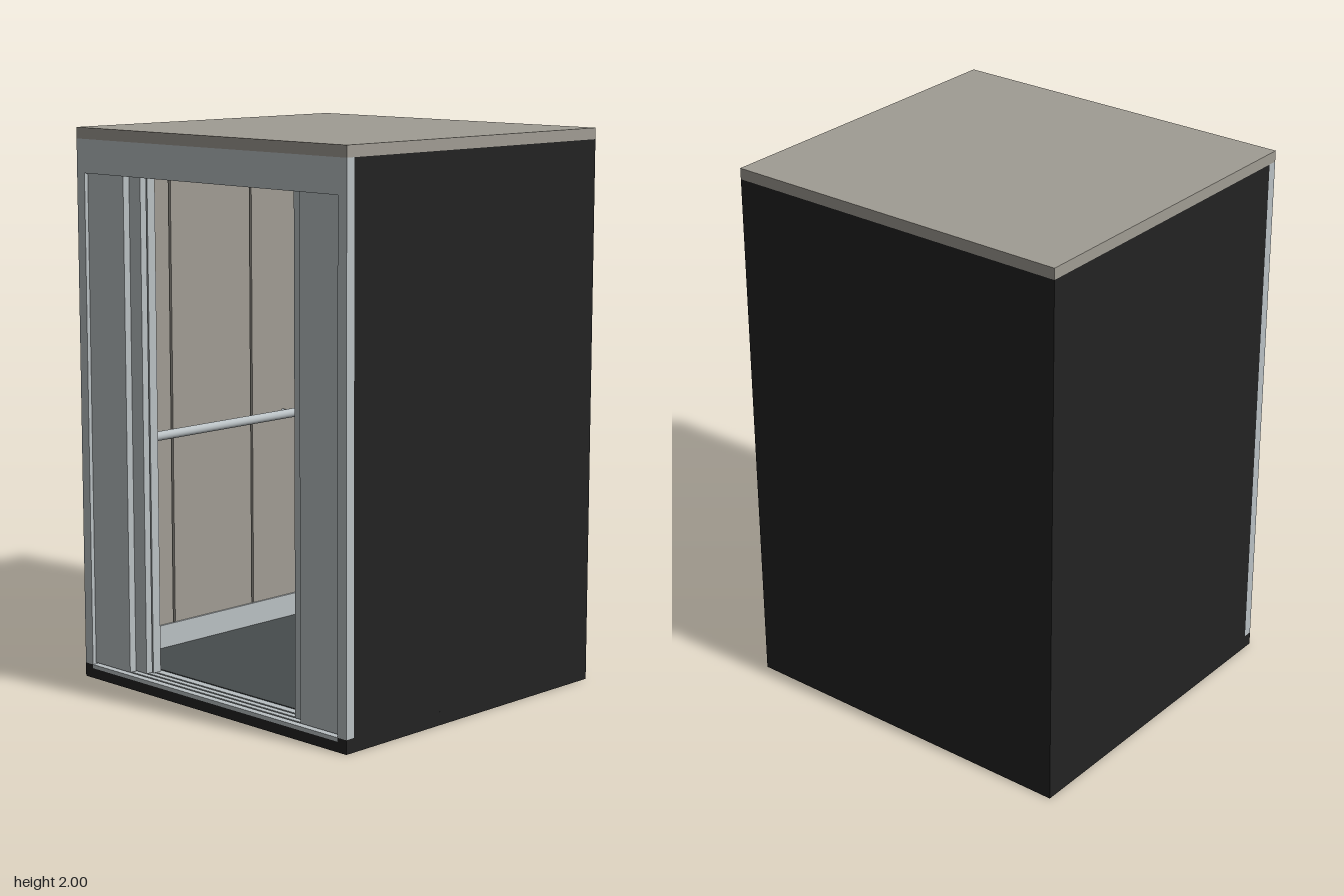
import * as THREE from 'three';

const mat = (name, color) => {
  const m = new THREE.MeshStandardMaterial({ color });
  m.name = name;
  return m;
};

export function createModel() {
  const model = new THREE.Group();
  model.name = 'elevatorCabin';

  const dark = mat('blackShell', 0x222222);
  const tan = mat('tanPanel', 0xa09c93);
  const metal = mat('brushedMetal', 0xb9c0c3);
  const floorGrey = mat('floorGrey', 0x474c4d);

  // Box given by its minimum and maximum corners
  const box = (name, material, x0, x1, y0, y1, z0, z1, parent = model) => {
    const m = new THREE.Mesh(new THREE.BoxGeometry(x1 - x0, y1 - y0, z1 - z0), material);
    m.position.set((x0 + x1) / 2, (y0 + y1) / 2, (z0 + z1) / 2);
    m.name = name;
    parent.add(m);
    return m;
  };
  // Same box on both sides of x = 0
  const pair = (name, material, x0, x1, ...rest) => {
    box(name + 'Left', material, x0, x1, ...rest);
    box(name + 'Right', material, -x1, -x0, ...rest);
  };
  // Cylinder between two points
  const rod = (name, a, b, r, parent) => {
    const p = new THREE.Vector3(...a), q = new THREE.Vector3(...b);
    const m = new THREE.Mesh(new THREE.CylinderGeometry(r, r, p.distanceTo(q), 20), metal);
    m.position.copy(p).lerp(q, 0.5);
    m.quaternion.setFromUnitVectors(new THREE.Vector3(0, 1, 0), q.sub(p).normalize());
    m.name = name;
    parent.add(m);
  };

  const W = 0.665, D = 0.625;

  // Base, roof and outer shell
  box('base', dark, -W, W, 0, 0.036, -D, D);
  box('baseDeck', dark, -W, W, 0.036, 0.048, -D, 0.5);
  pair('baseCorner', dark, 0.625, W, 0.036, 0.05, 0.5, D);
  box('roof', tan, -W, W, 1.96, 2, -D, D);
  box('backShell', dark, -W, W, 0.048, 1.96, -D, -0.6);
  pair('sideShell', dark, 0.64, W, 0.048, 1.96, -0.6, 0.59);

  // Floor covering
  box('floor', floorGrey, -0.64, 0.64, 0.048, 0.053, -0.6, 0.5);

  // Interior wall panels, separated by dark gaps
  const gap = 0.005;
  for (const x of [-0.407, 0, 0.407]) {
    box('backPanel', tan, x - 0.2035 + gap, x + 0.2035 - gap, 0.053, 1.96, -0.6, -0.57);
  }
  for (const [z0, z1] of [[-0.57, -0.165], [-0.165, 0.24], [0.24, 0.5]]) {
    pair('sidePanel', tan, 0.61, 0.64, 0.053, 1.96, z0 + gap, z1 - gap);
  }

  // Skirting
  box('backSkirting', metal, -0.61, 0.61, 0.053, 0.14, -0.57, -0.562);
  pair('sideSkirting', metal, 0.602, 0.61, 0.053, 0.14, -0.562, 0.5);

  // Mirror with a thin frame
  const mirror = new THREE.Group();
  mirror.name = 'mirror';
  model.add(mirror);
  box('mirrorPane', metal, -0.51, 0.51, 1.045, 1.765, -0.57, -0.562, mirror);
  box('mirrorFrameBottom', metal, -0.52, 0.52, 1.033, 1.045, -0.57, -0.552, mirror);
  box('mirrorFrameTop', metal, -0.52, 0.52, 1.765, 1.777, -0.57, -0.552, mirror);
  for (const s of [-1, 1]) {
    box('mirrorFrameSide', metal, s * 0.515 - 0.005, s * 0.515 + 0.005, 1.045, 1.765, -0.57, -0.552, mirror);
  }

  // Handrails on brackets
  const rails = new THREE.Group();
  rails.name = 'handrails';
  model.add(rails);
  const ry = 0.872;
  rod('backRail', [-0.55, ry, -0.51], [0.55, ry, -0.51], 0.017, rails);
  for (const s of [-1, 1]) {
    rod('backBracket', [s * 0.43, ry, -0.51], [s * 0.43, ry, -0.57], 0.008, rails);
    rod('sideRail', [s * 0.55, ry, -0.45], [s * 0.55, ry, 0.45], 0.017, rails);
    for (const z of [-0.33, 0.33]) {
      rod('sideBracket', [s * 0.55, ry, z], [s * 0.61, ry, z], 0.008, rails);
    }
  }

  // Front frame
  box('header', metal, -W, W, 1.84, 1.96, 0.59, D);
  pair('jamb', metal, 0.625, W, 0.05, 1.84, 0.59, D);

  // Telescopic doors, parked open, and inner return panels
  pair('outerDoor', metal, 0.435, 0.625, 0.055, 1.84, 0.583, 0.61);
  pair('innerDoor', metal, 0.38, 0.625, 0.055, 1.86, 0.553, 0.58);
  pair('returnPanel', metal, 0.383, 0.64, 0.05, 1.96, 0.51, 0.545);
  box('transom', metal, -0.383, 0.383, 1.85, 1.96, 0.51, 0.545);

  // Threshold with door tracks
  for (const [z0, z1] of [[0.5, 0.53], [0.538, 0.56], [0.568, 0.59], [0.598, D]]) {
    box('sillRail', metal, -0.625, 0.625, 0.036, 0.05, z0, z1);
  }

  return model;
}
